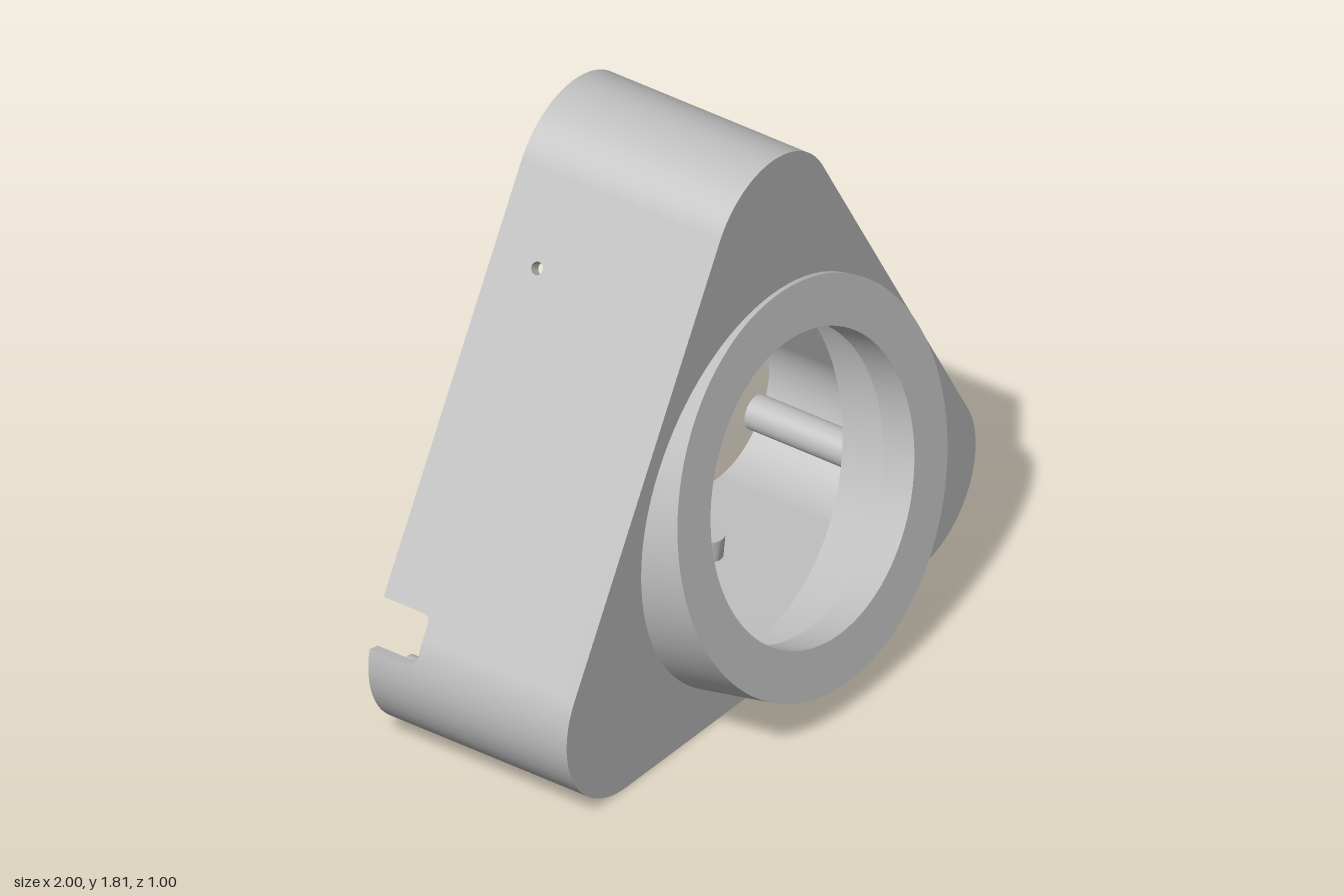
import * as THREE from 'three';
import { toCreasedNormals } from 'three/addons/utils/BufferGeometryUtils.js';

const R = 0.29, WALL = 0.04, BACK = -0.5, FRONT = 0.22;
const SIDE = 1.42, NOTCH_Z = -0.33, NOTCH_S = 0.072;
const CX = SIDE / 2, CY = R, TOP_Y = 1.52, MID_Y = 0.7;
const TILT = THREE.MathUtils.degToRad(12);
const rad = THREE.MathUtils.degToRad;

export function createModel() {
  const model = new THREE.Group();
  const grey = new THREE.MeshStandardMaterial({ color: 0xbfbfbf });
  grey.name = 'light grey plastic';

  const add = (name, geometry, crease = 0.5) => {
    const mesh = new THREE.Mesh(toCreasedNormals(geometry, crease), grey);
    mesh.name = name;
    model.add(mesh);
    return mesh;
  };
  const extrude = (shape, z0, z1) => new THREE.ExtrudeGeometry(shape, {
    depth: z1 - z0, bevelEnabled: false, curveSegments: 28,
  }).translate(0, 0, z0);
  const lathe = (points, segments) =>
    new THREE.LatheGeometry(points.map(([x, y]) => new THREE.Vector2(x, y)), segments);

  // Front plate: rounded triangle with an opening for the collar
  const plate = new THREE.Shape();
  plate.absarc(-CX, CY, R, rad(150), rad(270), false);
  plate.absarc(CX, CY, R, rad(-90), rad(30), false);
  plate.absarc(0, TOP_Y, R, rad(30), rad(150), false);
  plate.closePath();
  const opening = new THREE.Path();
  opening.absellipse(0, 0.691, 0.6, 0.613, 0, Math.PI * 2, true);
  plate.holes.push(opening);
  add('frontPlate', extrude(plate, FRONT - WALL, FRONT));

  // Outer wall, running round from the notch to the top of the slanted side
  const NOTCH_A = 168;
  const wall = new THREE.Shape();
  const inner = R - WALL;
  wall.absarc(-CX, CY, R, rad(NOTCH_A), rad(270), false);
  wall.absarc(CX, CY, R, rad(-90), rad(30), false);
  wall.absarc(0, TOP_Y, R, rad(30), rad(150), false);
  wall.absarc(0, TOP_Y, inner, rad(150), rad(30), true);
  wall.absarc(CX, CY, inner, rad(30), rad(-90), true);
  wall.absarc(-CX, CY, inner, rad(270), rad(NOTCH_A), true);
  wall.closePath();
  add('outerWall', extrude(wall, BACK, FRONT));

  // Curved wall under the notch, stepped at its rounded corner
  const steps = [[150, 162, 0], [162, 164, 0.004], [164, 166, 0.012], [166, 168, 0.03]];
  for (const [a0, a1, lift] of steps) {
    const piece = new THREE.Shape();
    piece.absarc(-CX, CY, R, rad(a0), rad(a1), false);
    piece.absarc(-CX, CY, inner, rad(a1), rad(a0), true);
    piece.closePath();
    add('notchWall', extrude(piece, NOTCH_Z - lift, FRONT));
  }

  // Flat slanted side with half of the notch and a pin hole
  const panel = new THREE.Shape();
  panel.moveTo(0, FRONT);
  panel.lineTo(0, NOTCH_Z);
  panel.lineTo(NOTCH_S - 0.03, NOTCH_Z);
  panel.quadraticCurveTo(NOTCH_S, NOTCH_Z, NOTCH_S, NOTCH_Z - 0.03);
  panel.lineTo(NOTCH_S, BACK);
  panel.lineTo(SIDE, BACK);
  panel.lineTo(SIDE, FRONT);
  panel.closePath();
  const pinHole = new THREE.Path();
  pinHole.absarc(1.142, -0.34, 0.02, 0, Math.PI * 2, true);
  panel.holes.push(pinHole);
  const c = Math.cos(rad(30)), s = 0.5;
  const place = new THREE.Matrix4().makeBasis(
    new THREE.Vector3(s, c, 0), new THREE.Vector3(0, 0, 1), new THREE.Vector3(c, -s, 0));
  place.setPosition(-CX - R * c, CY + R * s, 0);
  add('slantedWall', extrude(panel, 0, WALL).applyMatrix4(place));

  // Tilted collar with a narrow front bore and a wider rear bore
  const collar = add('tiltedCollar', lathe([
    [0.636, -0.33], [0.636, 0], [0.48, 0], [0.48, -0.115],
    [0.56, -0.115], [0.56, -0.33], [0.636, -0.33],
  ], 96));
  collar.position.set(0, 0.727, 0.37);
  collar.rotation.x = Math.PI / 2 - TILT;

  // Screw posts, one in each corner, with blind holes at the back
  const length = 0.66;
  for (const angle of [90, 210, 330]) {
    const post = add('screwPost', lathe([
      [0.055, 0], [0.055, length], [0.033, length], [0.033, length - 0.3], [0, length - 0.3],
    ], 28));
    post.position.set(0.985 * Math.cos(rad(angle)), MID_Y + 0.985 * Math.sin(rad(angle)), 0.19);
    post.rotation.x = -Math.PI / 2;
  }

  // Small peg standing on the floor
  const peg = add('floorPeg', new THREE.CylinderGeometry(0.048, 0.042, 0.075, 28));
  peg.position.set(0.37, WALL + 0.035, -0.28);

  return model;
}
